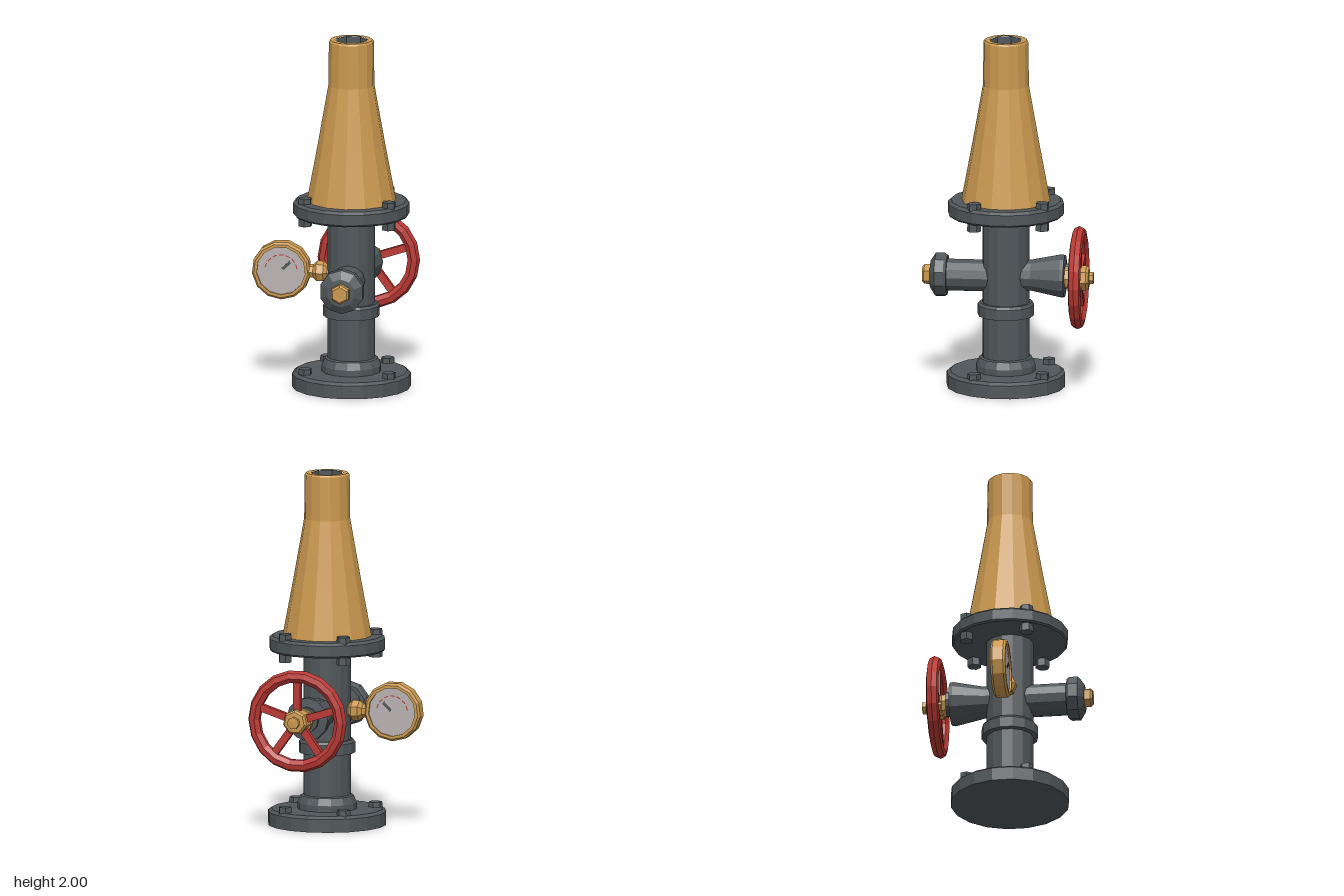
import * as THREE from 'three';

export function createModel() {
  const root = new THREE.Group();
  const mat = (name, color, side = THREE.FrontSide) => {
    const m = new THREE.MeshStandardMaterial({ color, side, flatShading: true });
    m.name = name;
    return m;
  };
  const iron = mat('dark iron', 0x50575a);
  const brass = mat('brass', 0xcb994f);
  const red = mat('red paint', 0xb93833);
  const dial = mat('dial grey', 0xb9b2b2);

  const add = (name, geo, material, parent = root) => {
    const mesh = new THREE.Mesh(geo, material);
    mesh.name = name;
    parent.add(mesh);
    return mesh;
  };
  // Revolved profile of [radius, height] pairs, with hard facets
  const turned = (pts, sides = 14) =>
    new THREE.LatheGeometry(pts.map(([r, y]) => new THREE.Vector2(r, y)), sides).toNonIndexed();
  // Revolved part along +z or -z instead of +y
  const turnedZ = (pts, sides, dir = 1) => turned(pts, sides).rotateX(dir * Math.PI / 2);

  // Everything upright shares one axis
  const body = new THREE.Group();
  body.name = 'body';
  body.position.set(0.11, 0, 0.015);
  root.add(body);

  add('baseFlange', turned([[0, 0], [0.335, 0], [0.335, 0.075], [0.315, 0.09], [0, 0.09]], 18), iron, body);
  add('baseCollar', turned([[0.168, 0.085], [0.168, 0.125], [0.15, 0.165], [0.12, 0.175]]), iron, body);
  add('column', turned([[0.134, 0.08], [0.134, 1.0]]), iron, body);
  add('columnRing', turned([[0.125, 0.405], [0.16, 0.41], [0.16, 0.47], [0.148, 0.485], [0.12, 0.485]]), iron, body);
  add('topFlange', turned([[0, 0.99], [0.32, 0.99], [0.328, 1.0], [0.328, 1.06], [0.31, 1.075], [0, 1.075]], 18), iron, body);

  // Tapered outlet with a dark bore
  add('outletCone', turned([[0.252, 1.07], [0.19, 1.4], [0.13, 1.74], [0.127, 1.99], [0.12, 2.0], [0.09, 2.0]], 14), brass, body);
  add('outletBore', turned([[0.09, 2.0], [0.088, 1.72], [0, 1.72]], 7), iron, body);

  // Flange bolts
  for (const [x, z] of [[-0.17, -0.225], [0.175, -0.225], [-0.245, 0.125], [0.235, 0.155]]) {
    const bolt = (name, y, h) => {
      const m = add(name, new THREE.CylinderGeometry(0.038, 0.04, h, 6), iron, body);
      m.position.set(x, y, z);
      m.rotation.y = Math.atan2(x, z);
    };
    bolt('baseBolt', 0.1, 0.04);
    bolt('topBolt', 1.085, 0.04);
    bolt('underNut', 0.97, 0.05);
  }

  // Front branch: pipe, cap and brass plug
  const front = new THREE.Group();
  front.name = 'frontBranch';
  front.position.set(0.11, 0.632, 0);
  root.add(front);
  add('frontPipe', turnedZ([[0.092, 0.05], [0.092, 0.36]], 12), iron, front);
  add('frontCap', turnedZ([[0, 0.345], [0.115, 0.345], [0.126, 0.36], [0.126, 0.41], [0.08, 0.44], [0, 0.445]], 10), iron, front);
  add('frontPlug', turnedZ([[0.057, 0.42], [0.057, 0.475], [0.045, 0.487], [0, 0.487]], 6), brass, front);

  // Rear branch: flared bonnet, then stem and wheel set slightly to the side
  const bonnet = add('rearBonnet', turnedZ([[0.088, 0.05], [0.09, 0.13], [0.125, 0.3], [0.122, 0.32], [0.072, 0.325], [0.072, 0.345], [0, 0.345]], 12, -1), iron);
  bonnet.position.set(0.12, 0.643, 0);

  const wheel = new THREE.Group();
  wheel.name = 'handwheel';
  wheel.position.set(0.15, 0.643, -0.4);
  root.add(wheel);
  const stem = add('stem', turnedZ([[0.068, -0.08], [0.068, -0.03], [0.045, -0.02], [0.045, 0.04]], 8, -1), brass, wheel);
  stem.position.x = -0.012;
  add('wheelNut', turnedZ([[0.045, -0.045], [0.072, -0.035], [0.072, 0.045], [0.06, 0.06], [0.035, 0.062], [0.035, 0.085], [0, 0.088]], 7, -1), brass, wheel);
  add('wheelRim', new THREE.TorusGeometry(0.255, 0.036, 7, 18), red, wheel);
  for (let i = 0; i < 5; i++) {
    const a = Math.PI / 10 + i * Math.PI * 2 / 5;
    const spoke = add('spoke', new THREE.BoxGeometry(0.2, 0.042, 0.035), red, wheel);
    spoke.position.set(Math.cos(a) * 0.145, Math.sin(a) * 0.145, 0);
    spoke.rotation.z = a;
  }

  // Pressure gauge with a dial on both sides
  const gauge = new THREE.Group();
  gauge.name = 'gauge';
  gauge.position.set(-0.285, 0.66, 0.015);
  root.add(gauge);
  add('gaugeCase', turnedZ([[0.138, -0.03], [0.138, -0.043], [0.155, -0.043], [0.167, -0.03],
    [0.167, 0.03], [0.155, 0.043], [0.138, 0.043], [0.138, 0.03]], 13), brass, gauge);
  for (const s of [1, -1]) {
    const face = new THREE.Group();
    face.name = 'dial';
    face.rotation.y = s > 0 ? 0 : Math.PI;
    gauge.add(face);
    add('dialPlate', new THREE.CircleGeometry(0.142, 16), dial, face).position.z = 0.032;
    // Broken scale arc
    for (let i = 0; i < 7; i++) {
      add('scaleMark', new THREE.RingGeometry(0.088, 0.094, 3, 1, 0.15 + i * 0.42, 0.28), red, face).position.z = 0.034;
    }
    const needle = add('needle', new THREE.BoxGeometry(0.06, 0.016, 0.004), iron, face);
    needle.position.set(s * 0.03, 0.03, 0.036);
    needle.rotation.z = s * 0.75;
  }

  // Threaded joint between gauge and column
  const joint = add('gaugeJoint', turned([[0.04, -0.03], [0.04, 0], [0.06, 0.02], [0.06, 0.06], [0.04, 0.08], [0.04, 0.14]], 7).rotateZ(-Math.PI / 2), brass);
  joint.position.set(-0.105, 0.655, 0.015);

  return root;
}
